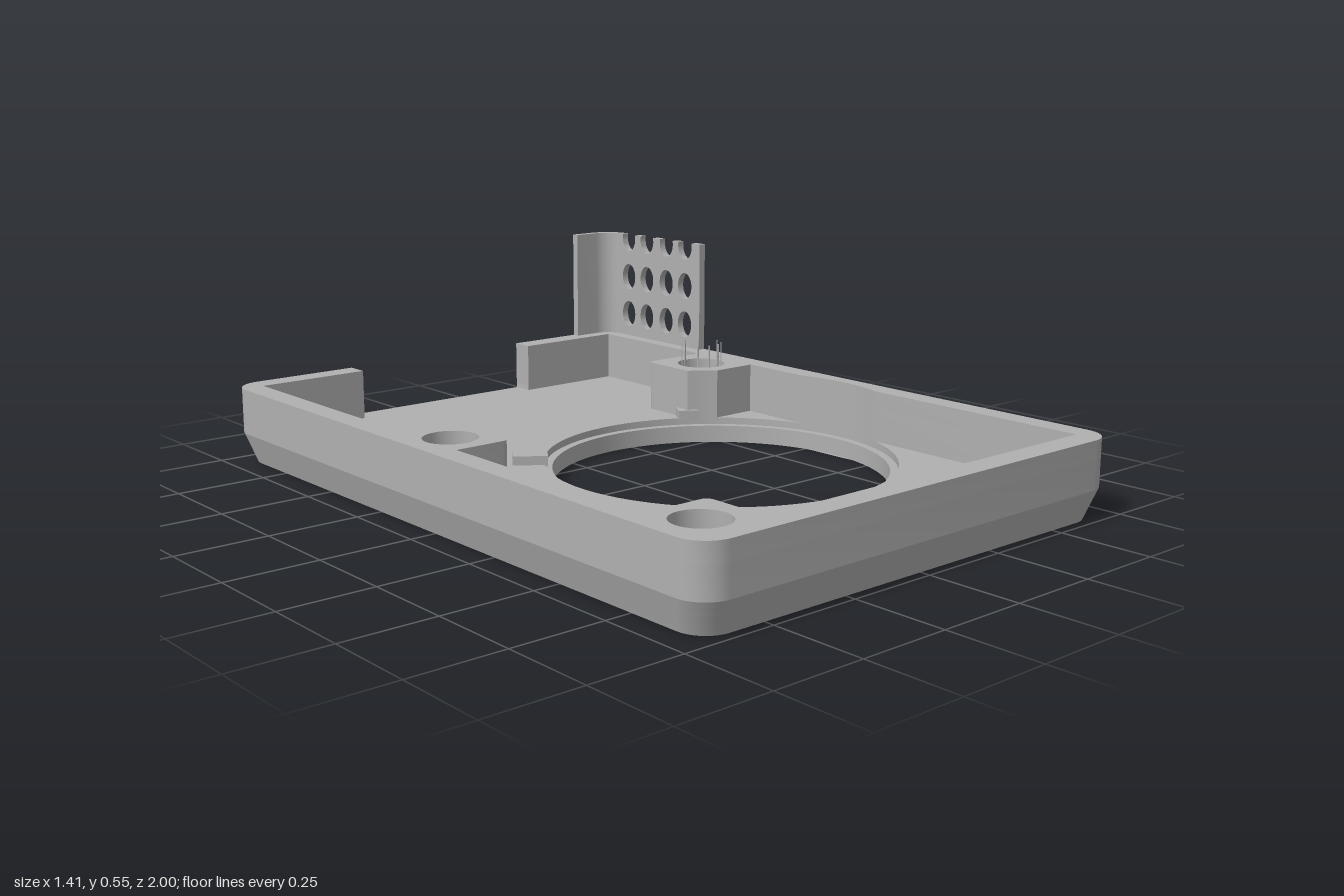
import * as THREE from 'three';
import { toCreasedNormals } from 'three/addons/utils/BufferGeometryUtils.js';

const W = 0.705, L = 1, R = 0.08;          // half width, half length, corner radius
const HOLE = { x: 0.18, z: 0.11, r: 0.46, seat: 0.483 };
const FLOOR = 0.07, RIM = 0.215, CHAMFER = 0.085, TOP = 0.552;
const PADS = [[-0.58, -0.07], [-0.58, 0.86], [0.542, -0.365]];

// Polygon from [x, z, radius?] corners; right-angled corners may be rounded
function outline(corners) {
  const out = [], n = corners.length;
  corners.forEach(([x, z, r], i) => {
    const p = new THREE.Vector2(x, z);
    if (!r) return out.push(p);
    const to = (c) => new THREE.Vector2(c[0], c[1]).sub(p).normalize();
    const u = to(corners[(i + n - 1) % n]), v = to(corners[(i + 1) % n]);
    const c = p.clone().addScaledVector(u, r).addScaledVector(v, r);
    for (let k = 0; k <= 10; k++) {
      const t = (k / 10) * Math.PI / 2;
      out.push(c.clone().addScaledVector(v, -r * Math.cos(t)).addScaledVector(u, -r * Math.sin(t)));
    }
  });
  return out;
}

// Points on the round seat, from angle a to b
function seatArc(a, b, n) {
  return Array.from({ length: n + 1 }, (_, i) => {
    const t = a + (b - a) * i / n;
    return [HOLE.x + HOLE.seat * Math.cos(t), HOLE.z + HOLE.seat * Math.sin(t)];
  });
}

const circle = (x, z, r, n) => Array.from({ length: n }, (_, i) => {
  const t = i / n * Math.PI * 2;
  return new THREE.Vector2(x + r * Math.cos(t), z + r * Math.sin(t));
});

// Upright slab of a plan outline between two heights; the outer skin tapers in below CHAMFER
function slab(points, y0, y1, holes = []) {
  const flip = (list) => list.map((p) => new THREE.Vector2(p.x, -p.y));
  const shape = new THREE.Shape(flip(points));
  shape.holes = holes.map((h) => new THREE.Path(flip(h)));
  const geo = new THREE.ExtrudeGeometry(shape, { depth: y1 - y0, bevelEnabled: false });
  geo.rotateX(-Math.PI / 2).translate(0, y0, 0);
  const pos = geo.attributes.position;
  for (let i = 0; i < pos.count; i++) {
    const x = pos.getX(i), z = pos.getZ(i), k = Math.max(0, 1 - pos.getY(i) / CHAMFER);
    const edge = Math.hypot(Math.max(Math.abs(x) - W + R, 0), Math.max(Math.abs(z) - L + R, 0));
    if (edge > R - 0.0005) {
      pos.setX(i, x * (1 - 0.038 * k));
      pos.setZ(i, z * (1 - 0.027 * k));
    }
  }
  return toCreasedNormals(geo, 0.5);
}

export function createModel() {
  const model = new THREE.Group();
  model.name = 'enclosureTray';
  const grey = new THREE.MeshStandardMaterial({ color: 0xb0b0b0 });
  grey.name = 'grey plastic';
  const add = (name, geo) => {
    const mesh = new THREE.Mesh(geo, grey);
    mesh.name = name;
    model.add(mesh);
    return mesh;
  };

  // Floor with the large round opening and its stepped seat
  const plate = outline([[-W, -L, R], [-W, L, R], [W, L, R], [W, -L, R]]);
  add('floorLower', slab(plate, 0, 0.05, [circle(HOLE.x, HOLE.z, HOLE.r, 96)]));
  add('floorUpper', slab(plate, 0.05, FLOOR, [circle(HOLE.x, HOLE.z, HOLE.seat, 96)]));

  // Perimeter wall with screw pads, open at the middle of the back
  const wall = outline([
    [-0.31, -L], [-W, -L, R], [-W, L, R], [W, L, R], [W, -L, R], [0.305, -L],
    [0.305, -0.935], [0.64, -0.935], [0.64, -0.485, 0.02], [0.43, -0.485, 0.02],
    ...seatArc(Math.atan2(-0.413, 0.25), Math.atan2(-0.36, 0.322), 6),
    [0.64, -0.25],
    ...seatArc(-0.309, 0.309, 14),
    [0.64, 0.93], [-0.46, 0.93], [-0.46, 0.75, 0.02], [-0.64, 0.75],
    [-0.64, 0.045], [-0.48, 0.045, 0.02], [-0.48, -0.18, 0.02], [-0.64, -0.18],
    [-0.64, -0.935], [-0.31, -0.935],
  ]);
  add('wallFoot', slab(wall, FLOOR, CHAMFER));
  add('wallBody', slab(wall, CHAMFER, 0.165));
  add('wallRim', slab(wall, 0.165, RIM, PADS.map(([x, z]) => circle(x, z, 0.072, 36))));

  // Tall rounded corner post at the back
  const t = 0.022;
  add('cornerPost', slab(outline([
    [0.545, -L], [W, -L, R], [W, -0.92], [W - t, -0.92],
    [W - t, -L + t, R - t], [0.545, -L + t],
  ]), RIM, TOP));

  // Vent panel: two rows of oval holes and a row of open notches on top
  const columns = [0.877, 0.786, 0.69, 0.6], rx = 0.032, ry = 0.042;
  const panel = new THREE.Shape();
  panel.moveTo(0.53, RIM).lineTo(0.92, RIM).lineTo(0.92, TOP);
  const lift = Math.asin((TOP - 0.54) / ry);
  for (const c of columns) {
    for (let i = 0; i <= 20; i++) {
      const a = lift - (Math.PI + 2 * lift) * i / 20;
      panel.lineTo(c + rx * Math.cos(a), 0.54 + ry * Math.sin(a));
    }
    for (const y of [0.288, 0.412]) {
      panel.holes.push(new THREE.Path().absellipse(c, y, rx, ry, 0, Math.PI * 2));
    }
  }
  panel.lineTo(0.53, TOP);
  const vent = new THREE.ExtrudeGeometry(panel, { depth: t, bevelEnabled: false, curveSegments: 14 });
  vent.rotateY(Math.PI / 2).translate(W - t, 0, 0);
  add('ventPanel', toCreasedNormals(vent, 0.5));

  // Small locating tabs beside the seat
  for (const a of [Math.atan2(-0.3, -0.43), Math.atan2(-0.41, 0.25)]) {
    const tab = add('locatingTab', new THREE.BoxGeometry(0.095, 0.03, 0.06));
    tab.position.set(HOLE.x + 0.52 * Math.cos(a), FLOOR + 0.01, HOLE.z + 0.52 * Math.sin(a));
    tab.rotation.y = -a;
  }

  // Fine upright slivers around the back right screw hole
  for (const a of [0.1, 0.75, 1.3, 1.9, 2.5, 3.3, 4.0, 4.5, 5.3]) {
    const pin = add('sliver', new THREE.BoxGeometry(0.003, 0.115, 0.003));
    pin.position.set(PADS[2][0] + 0.06 * Math.cos(a), 0.2225, PADS[2][1] + 0.06 * Math.sin(a));
    pin.rotation.y = -a;
  }
  return model;
}
